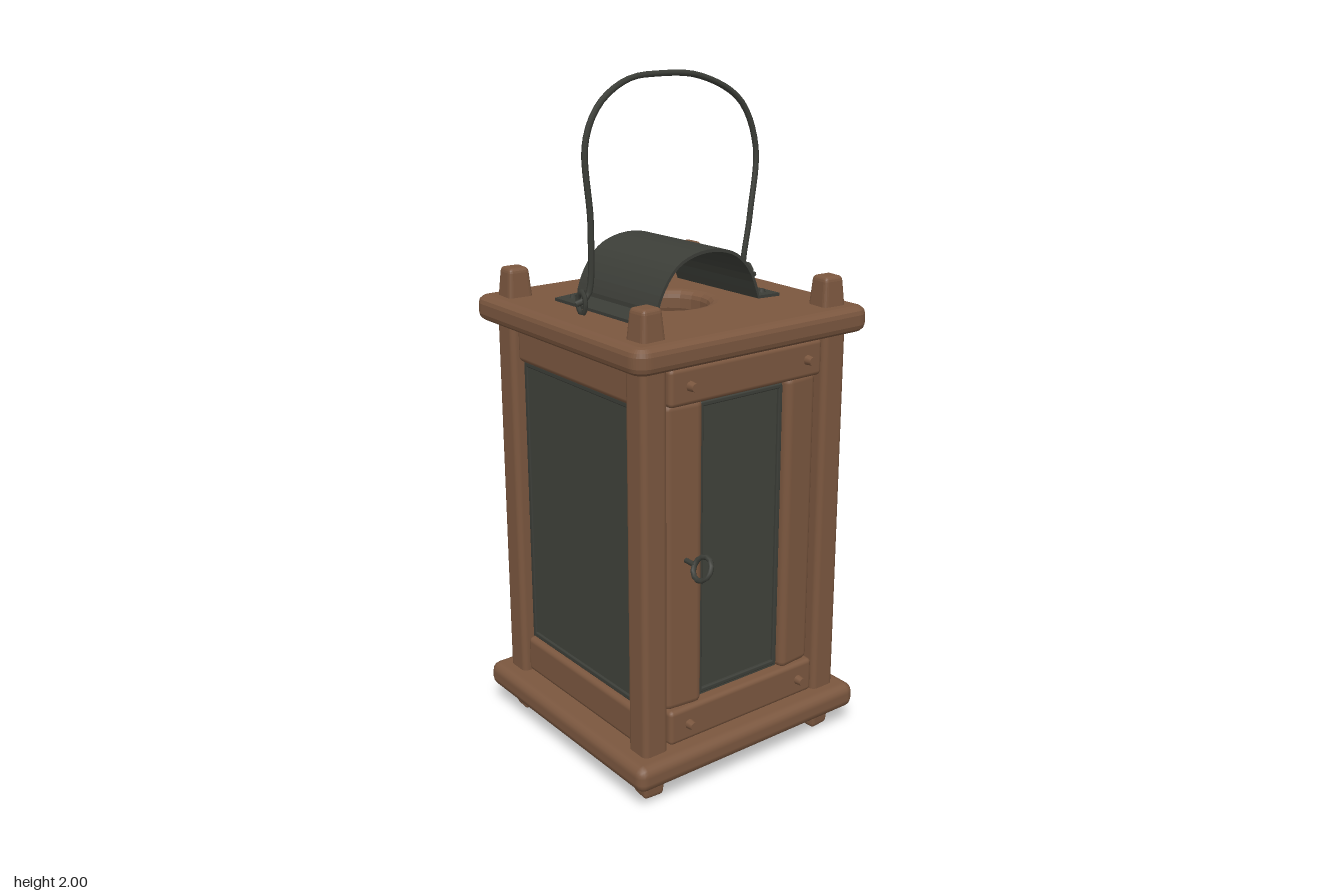
import * as THREE from 'three';
import { RoundedBoxGeometry } from 'three/addons/geometries/RoundedBoxGeometry.js';

export function createModel() {
  const root = new THREE.Group();
  root.name = 'lantern';
  const material = (name, color, extra = {}) => {
    const m = new THREE.MeshStandardMaterial({ color, ...extra });
    m.name = name;
    return m;
  };
  const wood = material('wood', 0x7b573f);
  const metal = material('darkMetal', 0x3c3e38);
  const glass = material('smokedGlass', 0x40423a);
  const CZ = -0.025; // middle of the body in z

  const add = (name, geometry, mat, x = 0, y = 0, z = 0, parent = root) => {
    const mesh = new THREE.Mesh(geometry, mat);
    mesh.name = name;
    mesh.position.set(x, y, z);
    parent.add(mesh);
    return mesh;
  };
  const block = (name, w, h, d, r, x, y, z, parent = root, mat = wood) =>
    add(name, new RoundedBoxGeometry(w, h, d, 2, r), mat, x, y, z, parent);

  // Base board
  block('baseBoard', 0.83, 0.08, 0.825, 0.03, 0, 0.105, CZ);

  // Roof board with a round smoke hole
  const s = 0.385, c = 0.02;
  const roof = new THREE.Shape();
  roof.moveTo(-s + c, -s);
  roof.lineTo(s - c, -s);
  roof.quadraticCurveTo(s, -s, s, -s + c);
  roof.lineTo(s, s - c);
  roof.quadraticCurveTo(s, s, s - c, s);
  roof.lineTo(-s + c, s);
  roof.quadraticCurveTo(-s, s, -s, s - c);
  roof.lineTo(-s, -s + c);
  roof.quadraticCurveTo(-s, -s, -s + c, -s);
  const hole = new THREE.Path();
  hole.absarc(0, 0, 0.145, 0, Math.PI * 2, true);
  roof.holes.push(hole);
  const roofGeo = new THREE.ExtrudeGeometry(roof, {
    depth: 0.03, bevelThickness: 0.023, bevelSize: 0.028, bevelSegments: 3, curveSegments: 10,
  });
  roofGeo.rotateX(-Math.PI / 2);
  add('roofBoard', roofGeo, wood, 0, 1.302, CZ);

  // Corner posts with tapered pegs through both boards
  const peg = (name, x, y, z, h, dir, turn) => {
    const g = new RoundedBoxGeometry(0.082, h, 0.08, 2, 0.014);
    const p = g.attributes.position;
    for (let i = 0; i < p.count; i++) {
      const k = 1 - 0.22 * (0.5 + dir * p.getY(i) / h);
      p.setX(i, p.getX(i) * k);
      p.setZ(i, p.getZ(i) * k);
    }
    g.computeVertexNormals();
    add(name, g, wood, x, y, z).rotation.y = turn;
  };
  for (const sx of [-1, 1]) {
    for (const sz of [-1, 1]) {
      const x = sx * 0.322, z = CZ + sz * 0.322;
      block('cornerPost', 0.085, 1.17, 0.085, 0.018, x, 0.71, z);
      peg('topPeg', x, 1.39, z, 0.1, 1, -sx * sz * 0.06);
      peg('foot', x, 0.05, z, 0.1, -1, sx * 0.08);
    }
  }

  // Window walls on the two sides and the back, facing local +z
  [['leftWall', Math.PI / 2], ['rightWall', -Math.PI / 2], ['backWall', Math.PI]].forEach(([name, turn]) => {
    const wall = new THREE.Group();
    wall.name = name;
    wall.position.z = CZ;
    wall.rotation.y = turn;
    root.add(wall);
    block('topRail', 0.57, 0.115, 0.07, 0.016, 0, 1.222, 0.31, wall);
    block('bottomRail', 0.57, 0.115, 0.07, 0.016, 0, 0.205, 0.31, wall);
    add('pane', new THREE.BoxGeometry(0.56, 0.93, 0.02), glass, 0, 0.715, 0.313, wall);
    // Thin metal strips around the pane
    for (const e of [-1, 1]) {
      block('paneEdge', 0.016, 0.9, 0.014, 0.004, e * 0.267, 0.715, 0.323, wall, metal);
      block('paneEdge', 0.54, 0.016, 0.014, 0.004, 0, 0.715 + e * 0.442, 0.323, wall, metal);
    }
  });

  // Front door
  const door = new THREE.Group();
  door.name = 'door';
  door.position.set(-0.004, 0, 0.305);
  root.add(door);
  for (const [y, label] of [[1.218, 'doorTopRail'], [0.207, 'doorBottomRail']]) {
    block(label, 0.545, 0.108, 0.075, 0.014, 0, y, 0, door);
    for (const x of [-0.205, 0.215]) {
      const pin = add('doorPin', new THREE.CylinderGeometry(0.012, 0.016, 0.03, 8), wood, x, y, 0.045, door);
      pin.rotation.x = Math.PI / 2;
    }
  }
  block('doorStile', 0.125, 0.92, 0.055, 0.022, -0.21, 0.713, -0.004, door).rotation.y = -0.1;
  block('doorStile', 0.118, 0.92, 0.055, 0.022, 0.212, 0.713, -0.004, door).rotation.y = 0.1;
  add('doorPane', new THREE.BoxGeometry(0.31, 0.92, 0.02), glass, 0, 0.713, -0.01, door);
  for (const e of [-1, 1]) {
    block('paneEdge', 0.014, 0.875, 0.014, 0.004, e * 0.143, 0.713, 0.002, door, metal);
    block('paneEdge', 0.295, 0.014, 0.014, 0.004, 0, 0.713 + e * 0.435, 0.002, door, metal);
  }

  // Ring pull and its pin
  const ring = add('ringPull', new THREE.TorusGeometry(0.034, 0.008, 6, 12), metal, -0.212, 0.713, 0.4);
  ring.rotation.set(0, Math.PI / 2, 0);
  ring.rotation.order = 'ZYX';
  ring.rotation.z = -0.5;
  const stub = add('ringPin', new THREE.CylinderGeometry(0.008, 0.008, 0.06, 6), metal, -0.212, 0.713, 0.34);
  stub.rotation.x = Math.PI / 2;

  // Arched smoke cover, bent from one sheet
  const cover = new THREE.Group();
  cover.name = 'smokeCover';
  cover.position.z = -0.027;
  cover.rotation.y = 0.033;
  root.add(cover);
  const arch = new THREE.CatmullRomCurve3(
    [[-0.19, 1.362], [-0.165, 1.425], [-0.115, 1.488], [-0.05, 1.515], [0.03, 1.518], [0.1, 1.495],
      [0.15, 1.445], [0.186, 1.362]].map(([x, y]) => new THREE.Vector3(x, y, 0))).getPoints(24);
  const line = [new THREE.Vector3(-0.272, 1.358, 0), ...arch, new THREE.Vector3(0.27, 1.358, 0)];
  const sheet = new THREE.Shape();
  line.forEach((p, i) => (i ? sheet.lineTo(p.x, p.y) : sheet.moveTo(p.x, p.y)));
  const inner = line.map((p, i) => {
    const a = line[Math.max(i - 1, 0)], b = line[Math.min(i + 1, line.length - 1)];
    const t = b.clone().sub(a).normalize();
    return [p.x - t.y * 0.009, p.y + t.x * 0.009];
  });
  inner.reverse().forEach(([x, y]) => sheet.lineTo(x, y));
  const sheetGeo = new THREE.ExtrudeGeometry(sheet, { depth: 0.365, bevelEnabled: false });
  add('archedSheet', sheetGeo, metal, 0, 0, -0.1825, cover);
  for (const x of [-0.235, 0.235]) {
    for (const z of [-0.145, 0.145]) {
      add('coverNail', new THREE.CylinderGeometry(0.007, 0.011, 0.012, 6), metal, x, 1.372, z, cover);
    }
  }

  // Wire eyes holding the handle
  for (const x of [-0.302, 0.302]) {
    const eye = add('handleEye', new THREE.TorusGeometry(0.019, 0.007, 6, 10), metal, x, 1.387, -0.027);
    eye.rotation.y = Math.PI / 2;
    eye.scale.y = 1.6;
  }

  // Bent wire handle
  const wire = new THREE.CatmullRomCurve3([
    [-0.32, 1.385, -0.03], [-0.285, 1.4, -0.025], [-0.272, 1.6, -0.02], [-0.278, 1.82, -0.03],
    [-0.225, 1.92, -0.038], [-0.125, 1.98, -0.046], [-0.02, 1.991, -0.05], [0.13, 1.979, -0.046],
    [0.27, 1.905, -0.036], [0.324, 1.77, -0.027], [0.3, 1.57, -0.02], [0.285, 1.4, -0.025],
    [0.33, 1.385, -0.03],
  ].map((p) => new THREE.Vector3(...p)));
  add('handle', new THREE.TubeGeometry(wire, 60, 0.009, 6), metal);

  return root;
}
